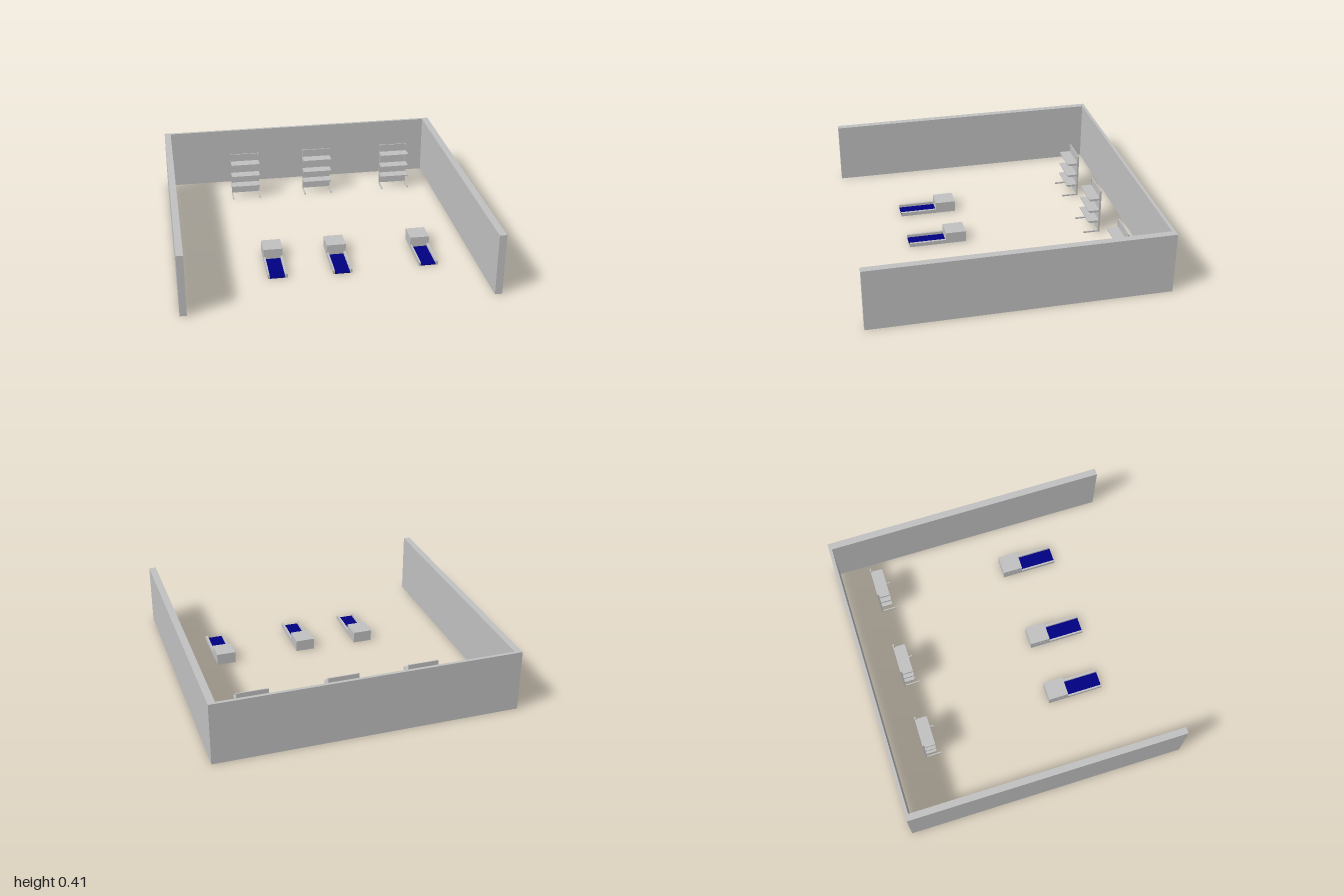
import * as THREE from 'three';

const grey = new THREE.MeshStandardMaterial({ name: 'grey', color: 0xc0c0c0 });
const navy = new THREE.MeshStandardMaterial({ name: 'navy belt', color: 0x000080 });

// Box given by its minimum and maximum corners
function block(parent, name, x0, x1, y0, y1, z0, z1, material = grey) {
  const mesh = new THREE.Mesh(new THREE.BoxGeometry(x1 - x0, y1 - y0, z1 - z0), material);
  mesh.position.set((x0 + x1) / 2, (y0 + y1) / 2, (z0 + z1) / 2);
  mesh.name = name;
  parent.add(mesh);
}

// Shelving unit: back panel, posts, three boards with brackets, two feet
function createShelf(x) {
  const g = new THREE.Group();
  g.name = 'shelfUnit';
  const w = 0.102, back = -0.744;
  block(g, 'backPanel', -w + 0.008, w - 0.008, 0.006, 0.313, back + 0.002, back + 0.009);
  for (const y of [0.086, 0.166, 0.256])
    block(g, 'shelfBoard', -w + 0.003, w - 0.003, y - 0.004, y + 0.003, back + 0.009, -0.659);
  for (const s of [-1, 1]) {
    const a = s < 0 ? -w : w - 0.008;
    block(g, 'post', a, a + 0.008, 0, 0.313, back, back + 0.013);
    block(g, 'foot', a, a + 0.008, 0, 0.01, back + 0.013, -0.63);
    for (const y of [0.086, 0.166, 0.256]) {
      const b = s < 0 ? -w : w - 0.003;
      block(g, 'bracket', b, b + 0.003, y - 0.012, y + 0.003, back + 0.013, -0.665);
    }
  }
  g.position.x = x;
  return g;
}

// Checkout counter: cabinet behind, belt between two side rails
function createCheckout(x, z) {
  const g = new THREE.Group();
  g.name = 'checkout';
  block(g, 'cabinet', 0, 0.128, 0, 0.077, 0, 0.136);
  block(g, 'belt', 0.012, 0.112, 0, 0.008, 0.136, 0.382, navy);
  block(g, 'leftRail', 0.112, 0.128, 0, 0.026, 0.136, 0.383);
  block(g, 'rightRail', 0, 0.012, 0, 0.026, 0.136, 0.383);
  // Small buttons on the cabinet side
  for (let i = 0; i < 3; i++)
    block(g, 'button', -0.002, 0, 0.04, 0.052, 0.03 + i * 0.03, 0.042 + i * 0.03);
  g.position.set(x, 0, z);
  return g;
}

export function createModel() {
  const model = new THREE.Group();
  model.name = 'shopInterior';

  // Walls on three sides, open at the front
  const h = 0.414;
  block(model, 'backWall', -0.956, 0.953, 0, h, -0.97, -0.949);
  block(model, 'rightWall', -1, -0.956, 0, h, -0.97, 0.911);
  block(model, 'leftWall', 0.953, 1, 0, h, -0.97, 0.97);

  for (const x of [-0.434, 0.097, 0.68]) model.add(createShelf(x));
  for (const [x, z] of [[-0.422, 0.174], [0, 0.18], [0.572, 0.163]]) model.add(createCheckout(x, z));
  return model;
}
